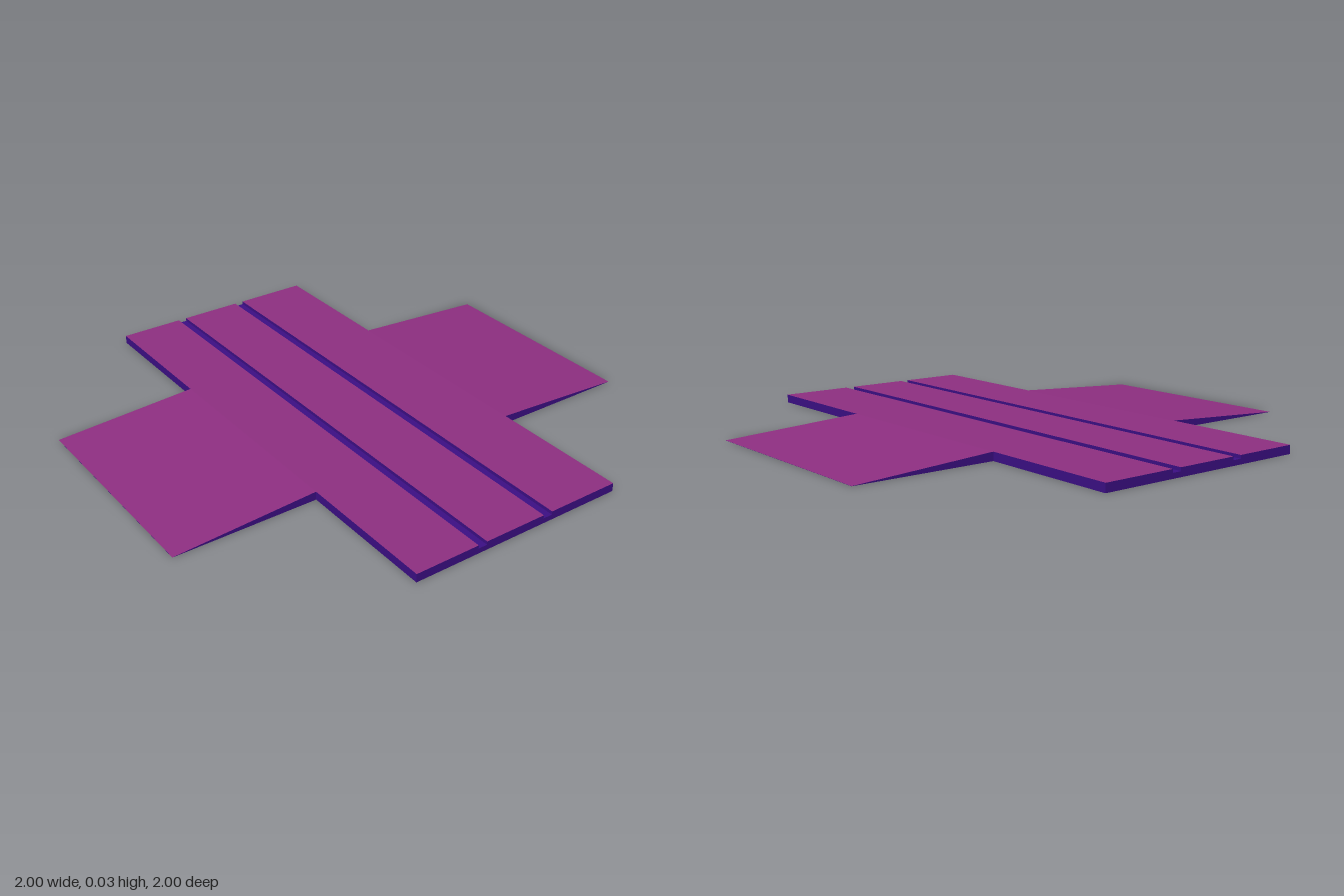
import * as THREE from 'three';

const HEIGHT = 0.033, FLOOR = 0.02, RAMP_HALF = 0.44;

export function createModel() {
  const group = new THREE.Group();
  const purple = new THREE.MeshStandardMaterial({ color: 0x8f2f82 });
  const indigo = new THREE.MeshStandardMaterial({ color: 0x3c0f85 });
  const purpleTop = [indigo, indigo, purple, indigo, indigo, indigo];

  // Box given by its half width and its y and z ranges
  function slab(name, halfX, y0, y1, z0, z1, material) {
    const geometry = new THREE.BoxGeometry(halfX * 2, y1 - y0, z1 - z0);
    geometry.translate(0, (y0 + y1) / 2, (z0 + z1) / 2);
    const mesh = new THREE.Mesh(geometry, material);
    mesh.name = name;
    group.add(mesh);
    return mesh;
  }

  // Crossing deck: base whose exposed strips are the rail grooves
  slab('deckBase', 1, 0, FLOOR, -0.44, 0.435, indigo);

  // Raised road panels either side of and between the grooves
  const panels = [['backPanel', -0.44, -0.148], ['middlePanel', -0.11, 0.142], ['frontPanel', 0.178, 0.435]];
  for (const [name, z0, z1] of panels) slab(name, 1, FLOOR, HEIGHT, z0, z1, purpleTop);

  // Ramps: the outer top edge drops to the ground
  for (const [name, z0, z1] of [['backRamp', -1, -0.44], ['frontRamp', 0.435, 1]]) {
    const { geometry } = slab(name, RAMP_HALF, 0, HEIGHT, z0, z1, purpleTop);
    const p = geometry.attributes.position;
    for (let i = 0; i < p.count; i++) {
      if (Math.abs(p.getZ(i)) > 0.9 && p.getY(i) > 0.01) p.setY(i, 0.0005);
    }
    geometry.computeVertexNormals();
  }

  return group;
}
